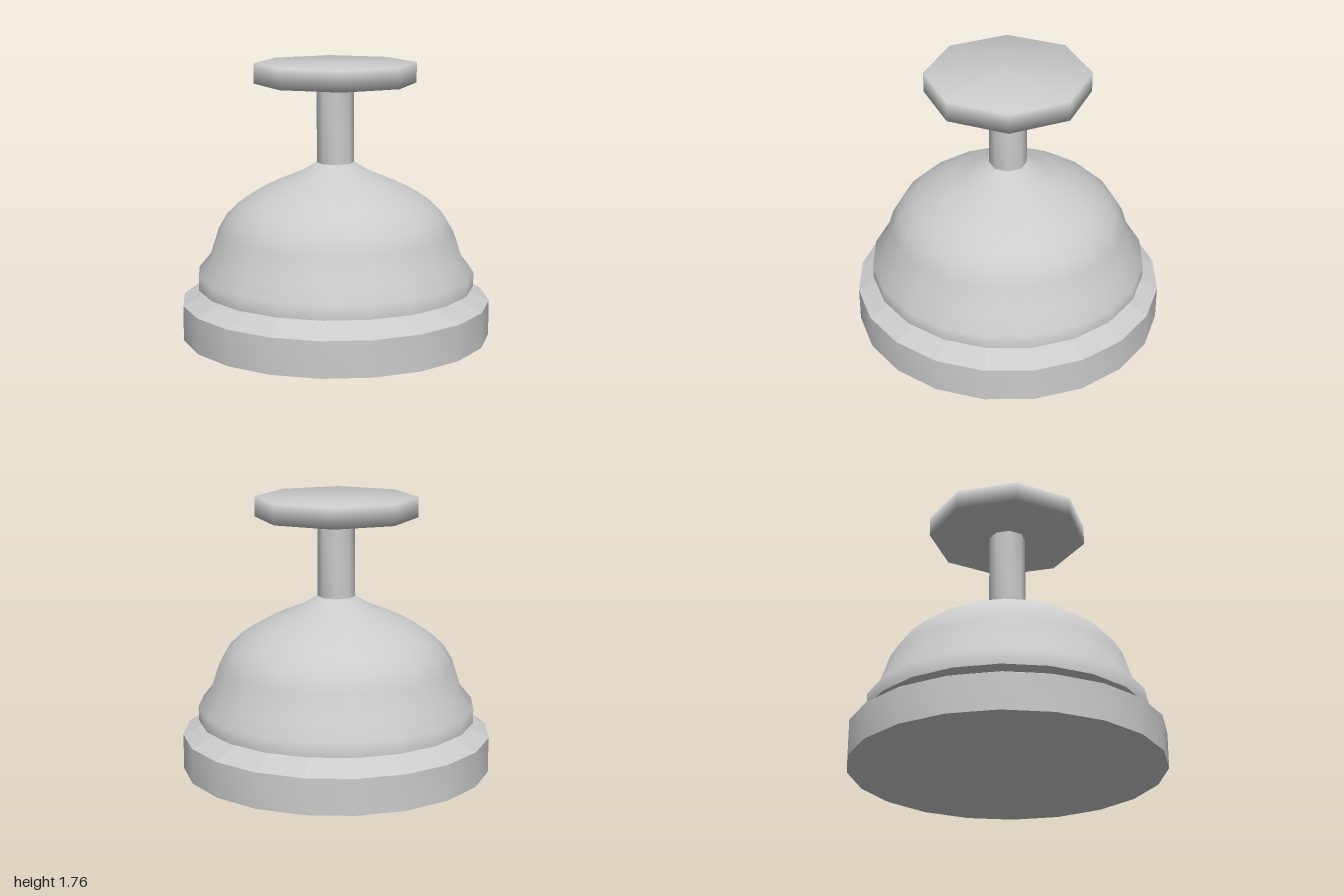
import * as THREE from 'three';
import { mergeVertices } from 'three/addons/utils/BufferGeometryUtils.js';

const material = new THREE.MeshStandardMaterial({ color: 0xcccccc });
const flatMaterial = new THREE.MeshStandardMaterial({ color: 0xcccccc, flatShading: true });

// Turned solid from [radius, height] points, listed bottom to top
function turned(name, points, sides, mat = material) {
  let geometry = new THREE.LatheGeometry(points.map(([r, y]) => new THREE.Vector2(r, y)), sides);
  if (mat === material) {
    // Weld the seam and share normals over the edges for a soft look
    geometry.deleteAttribute('uv');
    geometry.deleteAttribute('normal');
    geometry = mergeVertices(geometry, 1e-4);
    geometry.computeVertexNormals();
  }
  const mesh = new THREE.Mesh(geometry, mat);
  mesh.name = name;
  return mesh;
}

export function createModel() {
  const group = new THREE.Group();
  group.name = 'deskBell';

  // Base: underside, upright wall and faceted bevel
  group.add(turned('baseUnderside', [[0, 0], [1, 0]], 20, flatMaterial));
  group.add(turned('baseWall', [[1, 0], [1, 0.23]], 20));
  group.add(turned('baseBevel', [[1, 0.23], [0.8, 0.32], [0, 0.32]], 20, flatMaterial));

  // Bell dome with a flared lip
  group.add(turned('bellUnderside', [[0, 0.325], [0.897, 0.325]], 20, flatMaterial));
  group.add(turned('bellDome', [
    [0.897, 0.325], [0.897, 0.415], [0.82, 0.51], [0.765, 0.68], [0.71, 0.775],
    [0.64, 0.845], [0.565, 0.9], [0.47, 0.955], [0.375, 1.0], [0.235, 1.057],
    [0.12, 1.125], [0, 1.13],
  ], 20));

  // Push button: stem and octagonal knob
  group.add(turned('buttonStem', [[0.12, 1.1], [0.12, 1.635]], 8));
  group.add(turned('buttonKnob', [[0, 1.635], [0.52, 1.635], [0.52, 1.765], [0, 1.765]], 8));

  return group;
}
